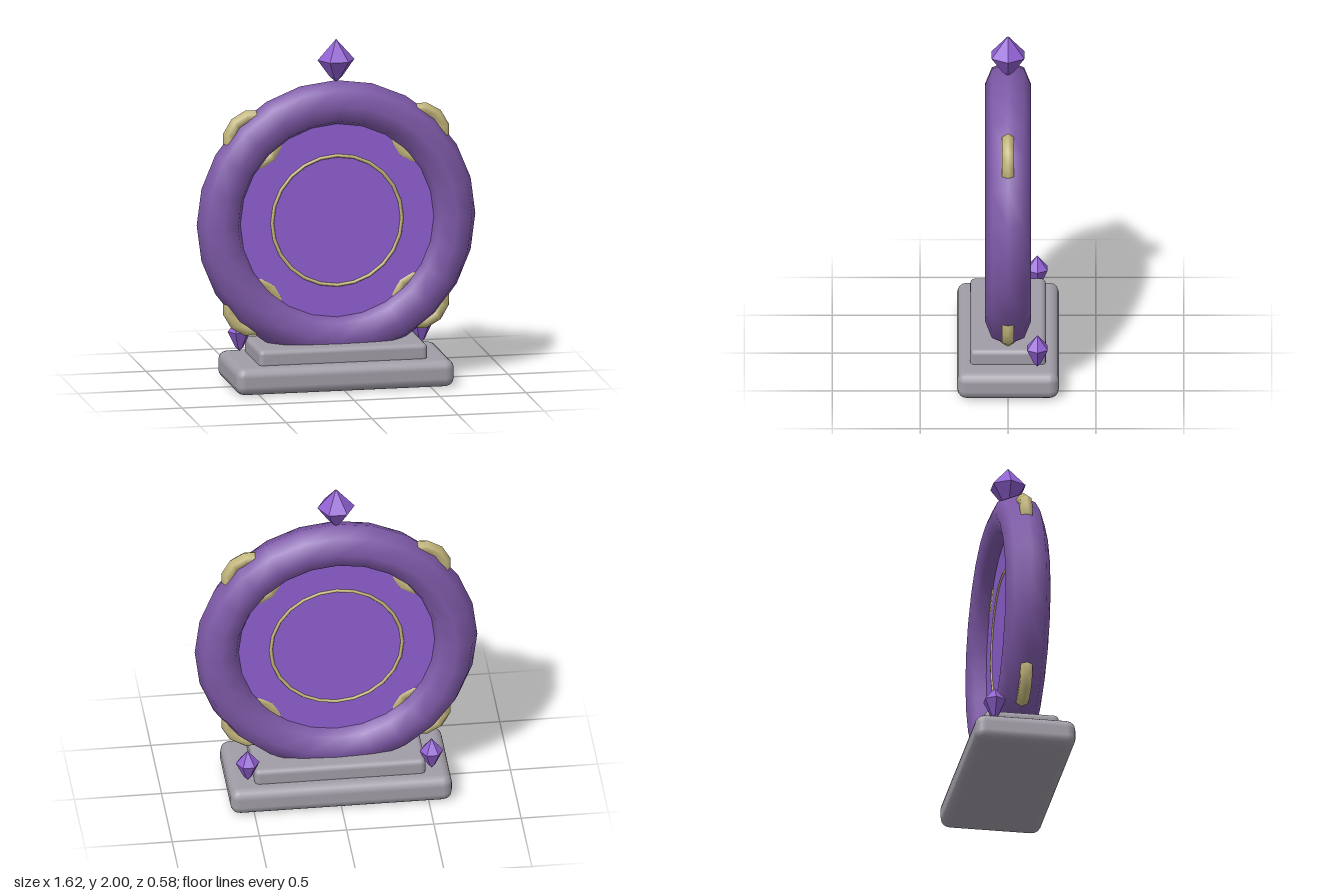
import * as THREE from 'three';
import { RoundedBoxGeometry } from 'three/addons/geometries/RoundedBoxGeometry.js';

const material = (name, color, extra = {}) => {
  const m = new THREE.MeshStandardMaterial({ color, ...extra });
  m.name = name;
  return m;
};

export function createModel() {
  const stone = material('stone grey', 0xa19da7);
  const frame = material('frame purple', 0x7f5aa9);
  const glow = material('portal violet', 0x8f5fd0);
  const crystal = material('crystal violet', 0x8f5fd0, { flatShading: true });
  const gold = material('pale gold', 0xc6b97e);

  const model = new THREE.Group();
  model.name = 'portal';
  const add = (name, geometry, mat, x = 0, y = 0, z = 0) => {
    const mesh = new THREE.Mesh(geometry, mat);
    mesh.name = name;
    mesh.position.set(x, y, z);
    model.add(mesh);
    return mesh;
  };

  // Two stepped slabs with rounded edges
  add('lowerBase', new RoundedBoxGeometry(1.27, 0.16, 0.58, 2, 0.055), stone, 0, 0.082, 0);
  add('upperBase', new RoundedBoxGeometry(0.98, 0.11, 0.43, 2, 0.03), stone, 0, 0.195, 0);

  // Upright ring, filled by a thin disc
  const centerY = 0.95, ringRadius = 0.68;
  add('ring', new THREE.TorusGeometry(ringRadius, 0.13, 8, 24), frame, 0, centerY, 0);
  const disc = new THREE.CylinderGeometry(0.6, 0.6, 0.06, 24).rotateX(Math.PI / 2);
  add('portalDisc', disc, glow, 0, centerY, 0);

  // Fine gold circle on each face of the disc
  for (const side of [1, -1]) {
    add(side > 0 ? 'frontCircle' : 'backCircle',
      new THREE.TorusGeometry(0.377, 0.01, 6, 24), gold, 0, centerY, side * 0.03);
  }

  // Four gold links threaded through the ring on the diagonals
  for (let i = 0; i < 4; i++) {
    const a = Math.PI / 4 + i * Math.PI / 2;
    const link = add('link', new THREE.TorusGeometry(0.142, 0.039, 6, 12), gold,
      ringRadius * Math.cos(a), centerY + ringRadius * Math.sin(a), 0);
    link.rotation.z = a;
  }

  // Six-sided crystals: pointed top, wide girdle, tapering foot
  const crystalGeometry = (radius, top, girdle, foot, bottom) => new THREE.LatheGeometry([
    new THREE.Vector2(0, bottom),
    new THREE.Vector2(radius * 0.33, foot),
    new THREE.Vector2(radius, girdle),
    new THREE.Vector2(0, top),
  ], 6, Math.PI / 2);
  add('topCrystal', crystalGeometry(0.107, 2.0, 1.88, 1.78, 1.75), crystal);
  for (const side of [1, -1]) {
    add(side > 0 ? 'leftCrystal' : 'rightCrystal',
      crystalGeometry(0.068, 0.365, 0.285, 0.192, 0.17), crystal, side * 0.527, 0, -0.167);
  }
  return model;
}
